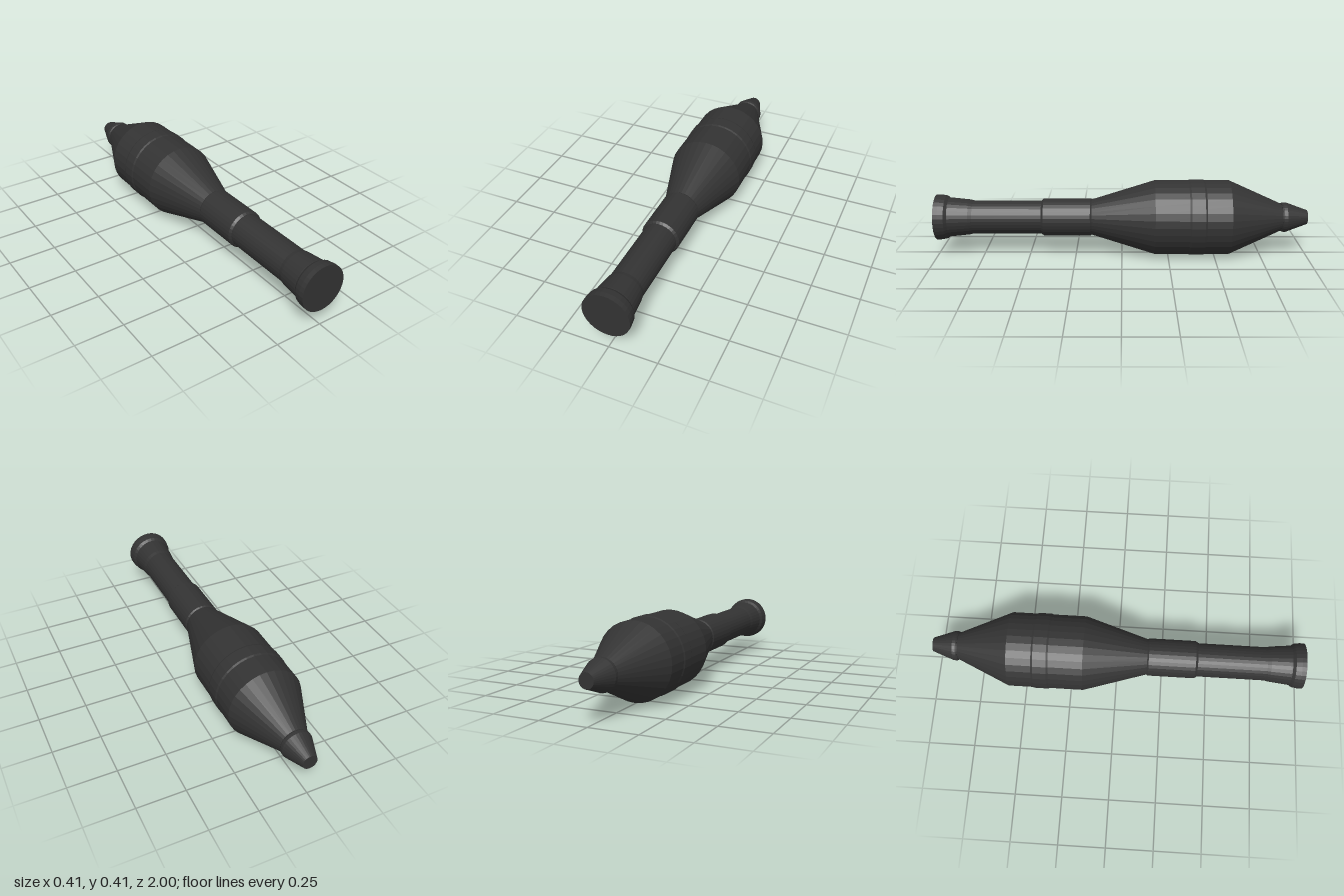
import * as THREE from 'three';

const SIDES = 32;
const RADIUS = 0.204;

// Closed faceted solid of revolution along z; profile is [z, radius] from back to front.
function turned(name, profile, material) {
  const first = profile[0], last = profile[profile.length - 1];
  const points = [[first[0], 0], ...profile, [last[0], 0]].map(([z, r]) => new THREE.Vector2(r, z));
  const mesh = new THREE.Mesh(new THREE.LatheGeometry(points, SIDES), material);
  mesh.name = name;
  mesh.rotation.x = Math.PI / 2;
  mesh.position.y = RADIUS;
  return mesh;
}

export function createModel() {
  const group = new THREE.Group();
  group.name = 'finlessProjectile';
  const dark = new THREE.MeshStandardMaterial({ color: 0x333333, flatShading: true });

  const parts = {
    // Blunt tip with a small collar where it meets the body
    noseTip: [[-1, 0.038], [-0.893, 0.077], [-0.885, 0.08], [-0.868, 0.08], [-0.86, 0.076], [-0.86, 0.066]],
    // Double-cone body with a straight middle
    body: [[-0.865, 0.07], [-0.575, 0.2], [-0.175, 0.2], [0.165, 0.095]],
    // Thin raised ring round the middle
    middleBand: [[-0.445, 0.2], [-0.435, RADIUS], [-0.365, RADIUS], [-0.355, 0.2]],
    // Sleeve joining body and tube
    sleeve: [[0.16, 0.095], [0.17, 0.101], [0.42, 0.101], [0.432, 0.092]],
    // Straight rear tube
    tube: [[0.42, 0.09], [0.82, 0.09]],
    // Flared end with a wider rim
    flare: [[0.8, 0.09], [0.82, 0.095], [0.925, 0.106], [0.94, 0.106]],
    endRim: [[0.93, 0.106], [0.945, 0.117], [0.975, 0.122], [1, 0.122]],
  };
  for (const [name, profile] of Object.entries(parts)) group.add(turned(name, profile, dark));
  return group;
}
